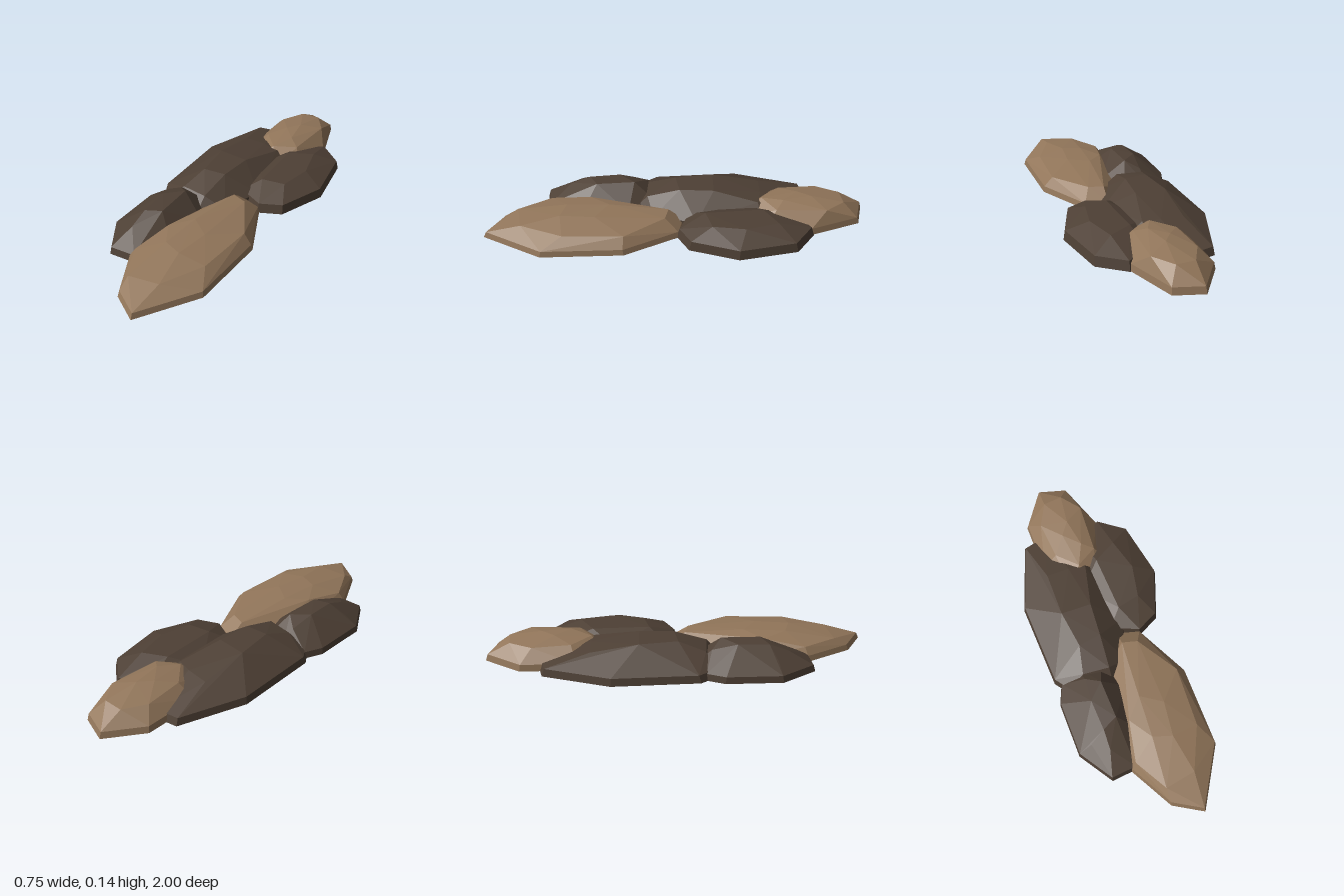
import * as THREE from 'three';
import { ConvexGeometry } from 'three/addons/geometries/ConvexGeometry.js';

const tan = new THREE.MeshStandardMaterial({ color: 0x92765a, side: THREE.DoubleSide, flatShading: true });
tan.name = 'tan stone';
const dark = new THREE.MeshStandardMaterial({ color: 0x4e4035, side: THREE.DoubleSide, flatShading: true });
dark.name = 'dark brown stone';

// Faceted hollow stone: base outline [x, z], a steep rim above it, and crown points [x, y, z]
function stone(name, material, outline, rimHeight, rimScale, crown) {
  const cx = outline.reduce((s, p) => s + p[0], 0) / outline.length;
  const cz = outline.reduce((s, p) => s + p[1], 0) / outline.length;
  const points = crown.map((p) => new THREE.Vector3(...p));
  for (const [x, z] of outline) {
    points.push(new THREE.Vector3(x, 0, z));
    points.push(new THREE.Vector3(cx + (x - cx) * rimScale, rimHeight, cz + (z - cz) * rimScale));
  }
  const hull = new ConvexGeometry(points);
  // Leave the underside open
  const src = hull.getAttribute('position').array;
  const kept = [];
  for (let i = 0; i < src.length; i += 9) {
    if (Math.max(src[i + 1], src[i + 4], src[i + 7]) > 1e-4) kept.push(...src.slice(i, i + 9));
  }
  const geometry = new THREE.BufferGeometry();
  geometry.setAttribute('position', new THREE.Float32BufferAttribute(kept, 3));
  geometry.computeVertexNormals();
  const mesh = new THREE.Mesh(geometry, material);
  mesh.name = name;
  return mesh;
}

export function createModel() {
  const group = new THREE.Group();
  group.name = 'flatStones';

  // Large dark slab in the middle
  group.add(stone('middleStone', dark,
    [[-0.26, -0.69], [-0.375, -0.34], [-0.35, 0.11], [-0.29, 0.19], [-0.06, 0.22], [0.05, 0.13],
      [0.11, -0.1], [0.09, -0.45], [0, -0.67], [-0.14, -0.72]], 0.04, 0.97,
    [[-0.2, 0.144, -0.2], [-0.17, 0.145, 0], [-0.05, 0.145, -0.02], [-0.04, 0.143, -0.2],
      [-0.08, 0.105, -0.45], [-0.2, 0.1, -0.45], [0.01, 0.1, -0.43], [-0.2, 0.1, 0.14], [-0.06, 0.1, 0.15]]));

  // Lower dark slab on the back left
  group.add(stone('sideStone', dark,
    [[0.17, -0.71], [0.31, -0.61], [0.372, -0.31], [0.285, -0.06], [0.17, 0], [0.02, -0.06],
      [-0.05, -0.33], [0.03, -0.62]], 0.05, 0.96,
    [[0.25, 0.101, -0.35], [0.2, 0.1, -0.52], [0.22, 0.098, -0.18], [0.1, 0.1, -0.15], [0.08, 0.102, -0.45]]));

  // Small dark stone at the front right
  group.add(stone('frontDarkStone', dark,
    [[-0.32, 0.13], [-0.36, 0.23], [-0.353, 0.52], [-0.235, 0.695], [-0.1, 0.68], [-0.01, 0.5],
      [0, 0.25], [-0.08, 0.08], [-0.22, 0.06]], 0.035, 0.97,
    [[-0.21, 0.143, 0.3], [-0.2, 0.138, 0.46], [-0.13, 0.145, 0.22], [-0.12, 0.142, 0.42],
      [-0.28, 0.08, 0.5], [-0.2, 0.1, 0.56], [-0.2, 0.11, 0.17]]));

  // Long tan slab at the front
  group.add(stone('frontTanStone', tan,
    [[0.17, -0.02], [0.32, 0.27], [0.328, 0.69], [0.15, 0.995], [0, 0.91], [-0.13, 0.68],
      [-0.13, 0.42], [-0.06, 0.12], [0.05, -0.05]], 0.03, 0.975,
    [[0.27, 0.08, 0.27], [0.26, 0.08, 0.58], [0.16, 0.076, 0.8], [0, 0.07, 0.83], [-0.1, 0.07, 0.66],
      [0.02, 0.108, 0.57], [0.12, 0.107, 0.6], [0.14, 0.11, 0.42], [0.03, 0.113, 0.35],
      [-0.06, 0.1, 0.45], [0.13, 0.09, 0.06], [0.05, 0.09, 0.04]]));

  // Rounded tan stone at the back
  group.add(stone('backTanStone', tan,
    [[-0.08, -1], [0.07, -0.96], [0.168, -0.7], [0.15, -0.46], [0.05, -0.35], [-0.1, -0.36],
      [-0.2, -0.52], [-0.207, -0.81]], 0.035, 0.97,
    [[-0.08, 0.1, -0.87], [0.02, 0.102, -0.88], [0.1, 0.105, -0.78], [0, 0.13, -0.71], [-0.05, 0.127, -0.64],
      [0.03, 0.127, -0.56], [-0.14, 0.1, -0.75], [0.09, 0.105, -0.52], [-0.12, 0.105, -0.55], [-0.02, 0.11, -0.45]]));

  return group;
}
